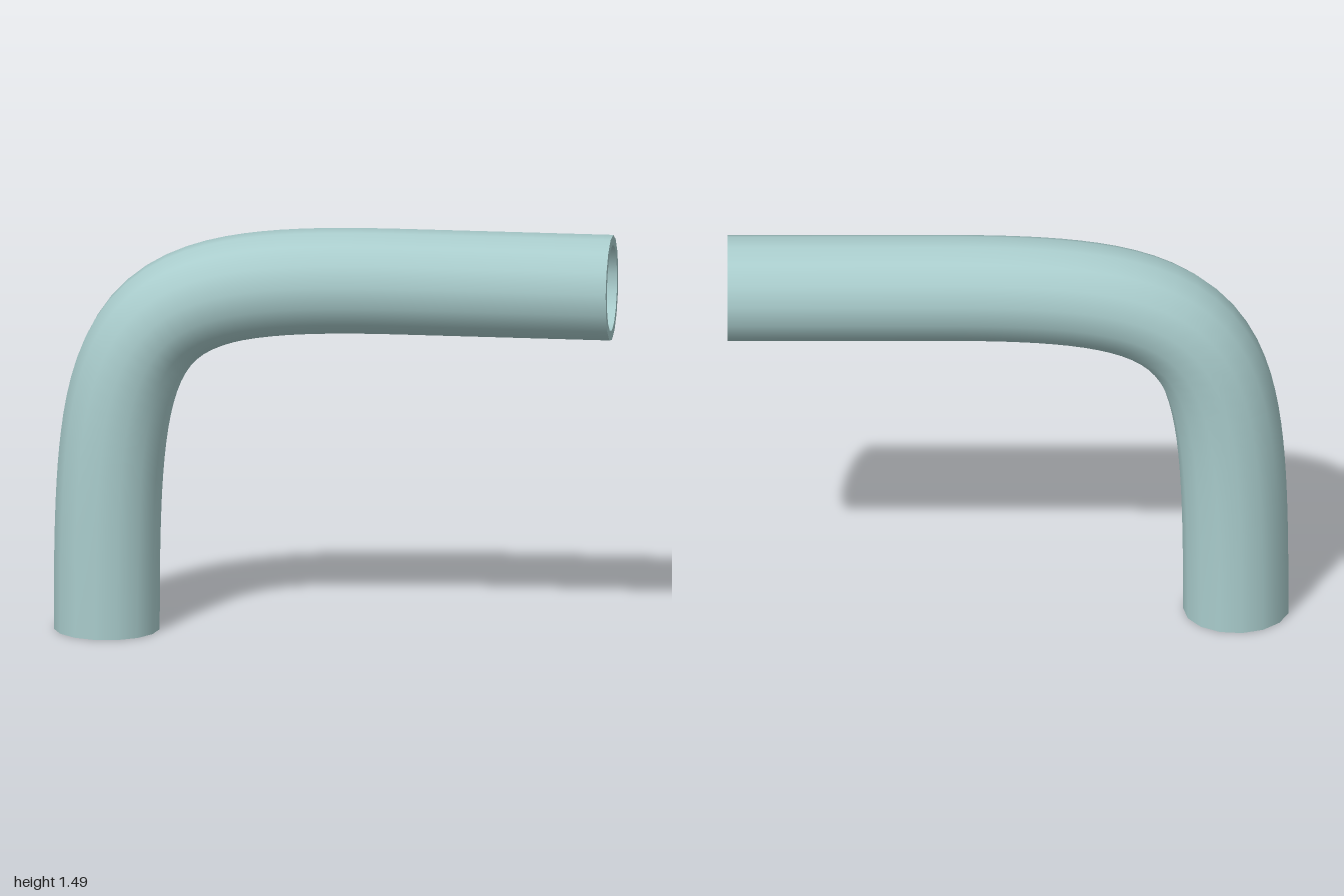
import * as THREE from 'three';
import { ParametricGeometry } from 'three/addons/geometries/ParametricGeometry.js';

const SIDES = 15;
const OUTER = 0.19;
const INNER = 0.155;

// Sweeps a circle along a curve lying in the xy plane; a corner of the section sits on the inside of the bend
function sweep(curve, radius, stacks, flip = 1) {
  return new ParametricGeometry((u, v, target) => {
    const p = curve.getPointAt(v);
    const t = curve.getTangentAt(v);
    const a = u * Math.PI * 2 * flip;
    const c = radius * Math.cos(a);
    target.set(p.x + t.y * c, p.y - t.x * c, -radius * Math.sin(a));
  }, SIDES, stacks);
}

export function createModel() {
  const group = new THREE.Group();
  group.name = 'bentPipe';
  const material = new THREE.MeshStandardMaterial({ color: 0xa9cccc, side: THREE.DoubleSide });
  const add = (name, geometry) => {
    const mesh = new THREE.Mesh(geometry, material);
    mesh.name = name;
    group.add(mesh);
    return mesh;
  };

  // Centre line: upright leg, soft bend, straight level arm
  const bendEnd = new THREE.Vector3(0.25, 1.3, 0);
  const armEnd = new THREE.Vector3(1, 1.3, 0);
  const path = new THREE.CurvePath();
  path.add(new THREE.CubicBezierCurve3(
    new THREE.Vector3(-0.814, 0, 0),
    new THREE.Vector3(-0.814, 1.16, 0),
    new THREE.Vector3(-0.77, 1.3, 0),
    bendEnd
  ));
  path.add(new THREE.LineCurve3(bendEnd, armEnd));

  // Outer wall, open at the foot
  add('outerWall', sweep(path, OUTER, 48));

  // Inner lining of the level arm, facing inwards
  add('innerLining', sweep(new THREE.LineCurve3(bendEnd, armEnd), INNER, 4, -1));

  // Flat rim closing the wall thickness at the arm's mouth
  const rim = add('rim', new THREE.RingGeometry(INNER, OUTER, SIDES, 1, -Math.PI / 2));
  rim.rotation.y = Math.PI / 2;
  rim.position.copy(armEnd);

  return group;
}
